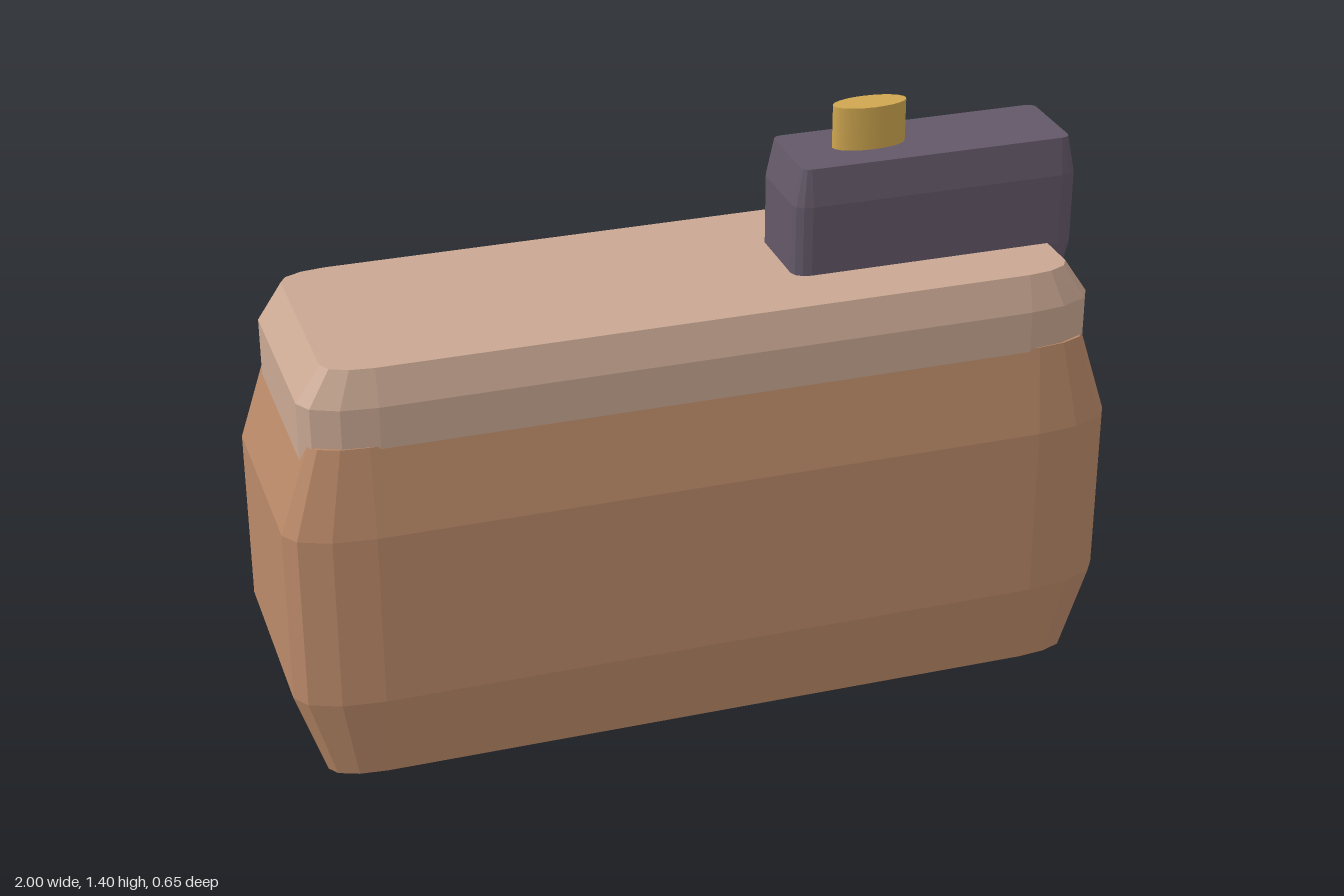
import * as THREE from 'three';

const material = (name, color) => {
  const m = new THREE.MeshStandardMaterial({ color });
  m.name = name;
  return m;
};

// One rounded-rectangle ring: half sizes hx, hz and elliptical corners rx, rz
function ring({ y, hx, hz, rx, rz }, steps = 3) {
  const points = [];
  for (let q = 0; q < 4; q++) {
    const sx = q === 0 || q === 3 ? 1 : -1;
    const sz = q < 2 ? 1 : -1;
    for (let i = 0; i <= steps; i++) {
      const a = (q + i / steps) * Math.PI / 2;
      points.push([
        sx * (hx - rx) + rx * Math.cos(a), y,
        sz * (hz - rz) + rz * Math.sin(a),
      ]);
    }
  }
  return points;
}

// Faceted, capped solid through a stack of rings, bottom to top
function loft(sections) {
  const rings = sections.map((s) => ring(s));
  const n = rings[0].length;
  const bottom = [0, sections[0].y, 0];
  const top = [0, sections.at(-1).y, 0];
  const pos = [];
  const tri = (...corners) => corners.forEach((c) => pos.push(...c));
  for (let i = 0; i < n; i++) {
    const j = (i + 1) % n;
    for (let k = 0; k < rings.length - 1; k++) {
      const a = rings[k], b = rings[k + 1];
      tri(a[i], b[i], b[j]);
      tri(a[i], b[j], a[j]);
    }
    tri(bottom, rings[0][i], rings[0][j]);
    tri(top, rings.at(-1)[j], rings.at(-1)[i]);
  }
  const g = new THREE.BufferGeometry();
  g.setAttribute('position', new THREE.Float32BufferAttribute(pos, 3));
  g.computeVertexNormals();
  return g;
}

export function createModel() {
  const group = new THREE.Group();
  group.name = 'case';
  const add = (name, geometry, mat) => {
    const mesh = new THREE.Mesh(geometry, mat);
    mesh.name = name;
    group.add(mesh);
    return mesh;
  };

  // Main body, tapered at foot and shoulder
  const narrow = { hx: 0.93, hz: 0.295, rx: 0.13, rz: 0.05 };
  const wide = { hx: 1, hz: 0.325, rx: 0.2, rz: 0.08 };
  add('body', loft([
    { y: 0, ...narrow },
    { y: 0.21, ...wide },
    { y: 0.64, ...wide },
    { y: 0.855, ...narrow },
  ]), material('tan', 0xbb8a69));

  // Lid, sunk into the body and bevelled on top
  const rim = { hx: 0.945, hz: 0.296, rx: 0.17, rz: 0.075 };
  add('lid', loft([
    { y: 0.76, ...rim },
    { y: 0.95, ...rim },
    { y: 1.036, hx: 0.887, hz: 0.272, rx: 0.112, rz: 0.051 },
  ]), material('pale tan', 0xcaa893));

  // Block overhanging the left end of the lid
  const edge = { hx: 0.333, hz: 0.108, rx: 0.022, rz: 0.018 };
  const full = { hx: 0.353, hz: 0.12, rx: 0.042, rz: 0.03 };
  add('block', loft([
    { y: 0.94, ...edge },
    { y: 1.03, ...full },
    { y: 1.207, ...full },
    { y: 1.297, ...edge },
  ]), material('dusky purple', 0x635868)).position.x = 0.603;

  // Oval button
  const button = add('button', new THREE.CylinderGeometry(1, 1, 0.13, 24),
    material('brass', 0xcfa750));
  button.scale.set(0.09, 1, 0.038);
  button.position.set(0.47, 1.336, 0);

  return group;
}
